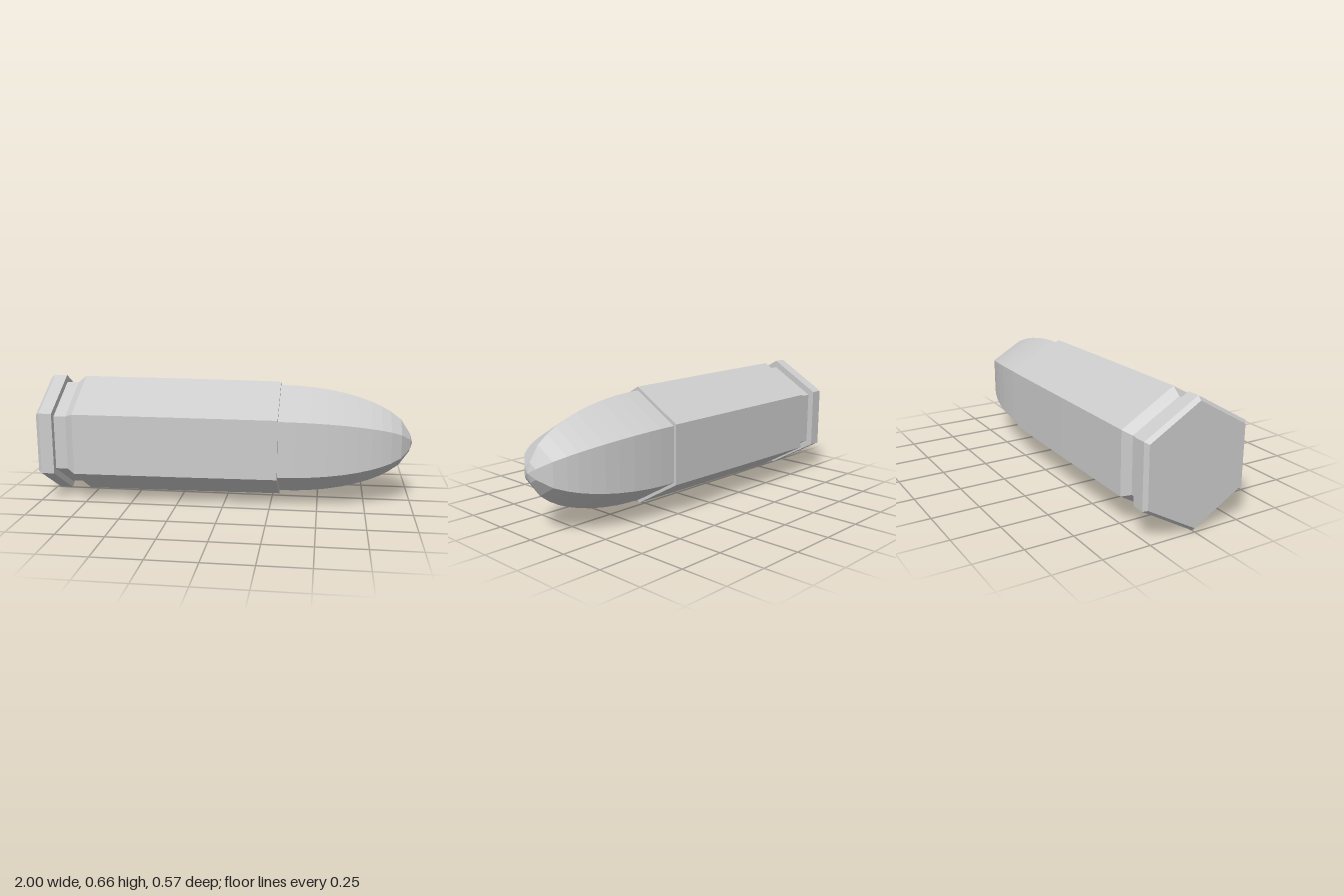
import * as THREE from 'three';

const AXIS_HEIGHT = 0.33;

// Six-sided turned part lying along x, from [x, radius] pairs running left to right
function turned(name, profile) {
  const points = profile.map(([x, r]) => new THREE.Vector2(r, x));
  const lathe = new THREE.LatheGeometry(points, 6, Math.PI / 2);
  lathe.rotateZ(-Math.PI / 2);
  const geometry = lathe.toNonIndexed();
  geometry.computeVertexNormals();
  const material = new THREE.MeshStandardMaterial({ color: 0xcccccc, flatShading: true });
  const mesh = new THREE.Mesh(geometry, material);
  mesh.name = name;
  mesh.position.y = AXIS_HEIGHT;
  return mesh;
}

export function createModel() {
  const group = new THREE.Group();
  group.name = 'cartridge';

  // Casing: flat base, bevelled rim, extractor groove, slightly tapering wall, mouth
  group.add(turned('casing', [
    [-1, 0], [-1, 0.309], [-0.98, 0.328], [-0.91, 0.328],
    [-0.91, 0.288], [-0.845, 0.288], [-0.8, 0.325],
    [-0.25, 0.322], [0.29, 0.317], [0.29, 0],
  ]));

  // Projectile: rounded nose on an elliptical curve, closed by a blunt point
  const nose = [[0.28, 0], [0.28, 0.298]];
  for (const x of [0.3, 0.38, 0.455, 0.545, 0.63, 0.705, 0.775, 0.83, 0.88, 0.935]) {
    nose.push([x, 0.298 * Math.sqrt(1 - ((x - 0.3) / 0.7) ** 2)]);
  }
  nose.push([0.985, 0.05], [1, 0]);
  group.add(turned('projectile', nose));

  return group;
}
